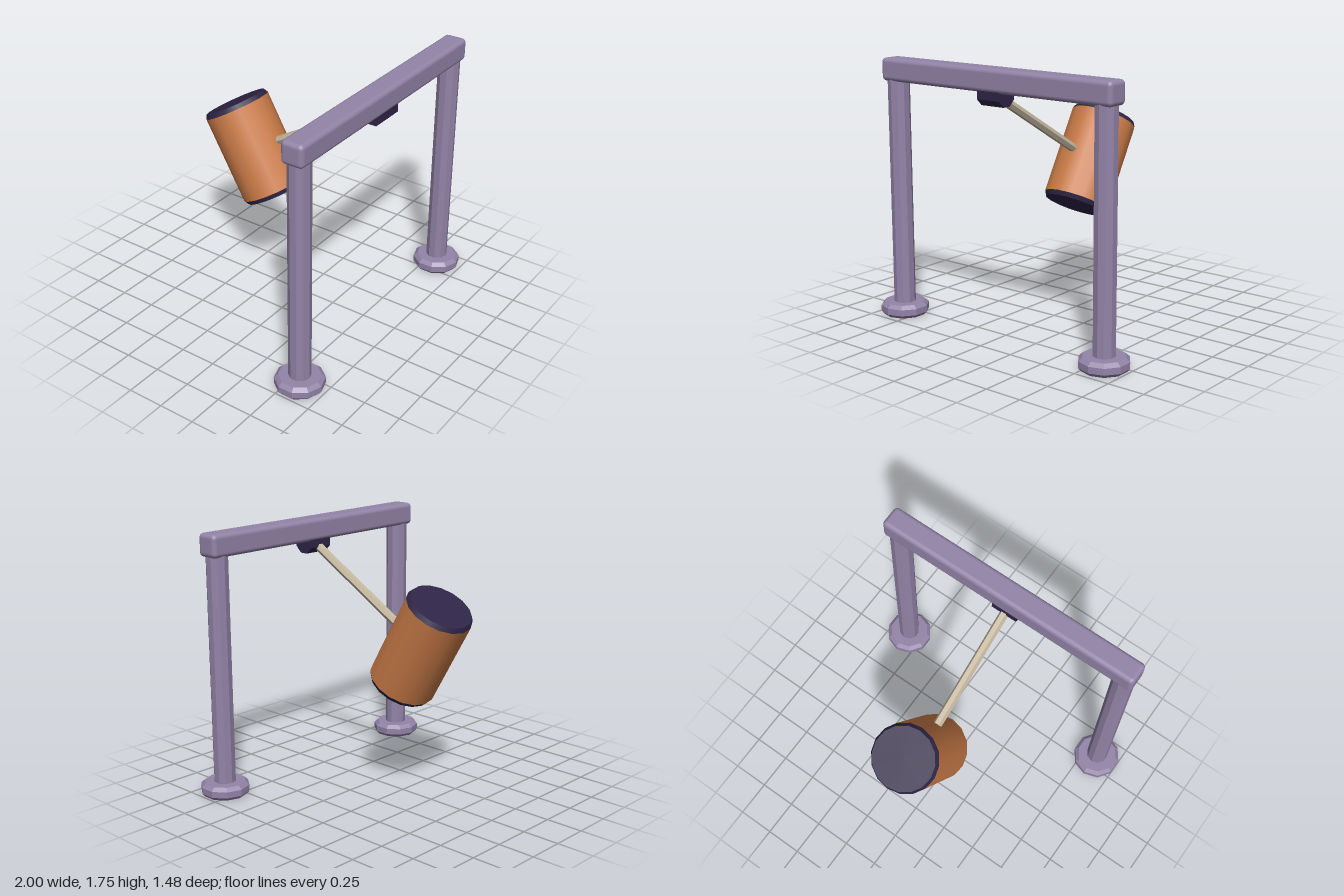
import * as THREE from 'three';
import { RoundedBoxGeometry } from 'three/addons/geometries/RoundedBoxGeometry.js';

const flat = (g) => {
  const n = g.toNonIndexed();
  n.computeVertexNormals();
  return n;
};

export function createModel() {
  const mat = (name, color) => {
    const m = new THREE.MeshStandardMaterial({ color });
    m.name = name;
    return m;
  };
  const purple = mat('framePurple', 0x9384a8);
  const orange = mat('headOrange', 0xcb7c48);
  const dark = mat('darkViolet', 0x2f2547);
  const tan = mat('handleTan', 0xc4b79f);

  const model = new THREE.Group();
  model.name = 'swingingHammer';
  const add = (parent, name, geometry, material, x = 0, y = 0, z = 0) => {
    const mesh = new THREE.Mesh(geometry, material);
    mesh.name = name;
    mesh.position.set(x, y, z);
    parent.add(mesh);
    return mesh;
  };
  const frameZ = 0.578;

  // Two ten-sided posts on bevelled feet
  const postGeo = flat(new THREE.CylinderGeometry(0.073, 0.073, 1.56, 10));
  const footProfile = [[0, 0], [0.143, 0], [0.163, 0.022], [0.163, 0.064], [0.138, 0.088], [0, 0.088]]
    .map(([r, y]) => new THREE.Vector2(r, y));
  const footGeo = flat(new THREE.LatheGeometry(footProfile, 10));
  for (const side of [-1, 1]) {
    const tag = side > 0 ? 'left' : 'right';
    add(model, tag + 'Post', postGeo, purple, side * 0.845, 0.85, frameZ);
    add(model, tag + 'Foot', footGeo, purple, side * 0.845, 0, frameZ);
  }

  // Rounded crossbeam
  add(model, 'crossbeam', new RoundedBoxGeometry(1.86, 0.152, 0.156, 3, 0.03), purple, 0, 1.674, frameZ);

  // Eight-sided pivot hub under the beam
  const hubGeo = new THREE.CylinderGeometry(0.076, 0.076, 0.18, 8);
  hubGeo.rotateY(Math.PI / 8).rotateZ(Math.PI / 2);
  add(model, 'pivotHub', flat(hubGeo), dark, 0, 1.582, frameZ);

  // Hammer swung backwards about the pivot
  const hammer = new THREE.Group();
  hammer.name = 'hammer';
  hammer.position.set(0, 1.582, frameZ);
  hammer.rotation.x = Math.PI / 3;
  model.add(hammer);

  // Six-sided handle
  const handleGeo = new THREE.CylinderGeometry(0.03, 0.03, 0.95, 6);
  handleGeo.rotateY(Math.PI / 2);
  add(hammer, 'handle', flat(handleGeo), tan, 0, -0.475, 0);

  // Head barrel with bevelled dark end caps
  const head = new THREE.Group();
  head.name = 'hammerHead';
  head.position.y = -1.122;
  head.rotation.x = Math.PI / 2;
  hammer.add(head);
  add(head, 'headBarrel', new THREE.CylinderGeometry(0.226, 0.226, 0.61, 16, 1, true), orange);
  const capGeo = new THREE.CylinderGeometry(0.21, 0.226, 0.03, 16);
  for (const end of [-1, 1]) {
    const cap = add(head, end > 0 ? 'lowerCap' : 'upperCap', capGeo, dark, 0, end * 0.32, 0);
    if (end < 0) cap.rotation.x = Math.PI;
  }
  return model;
}
